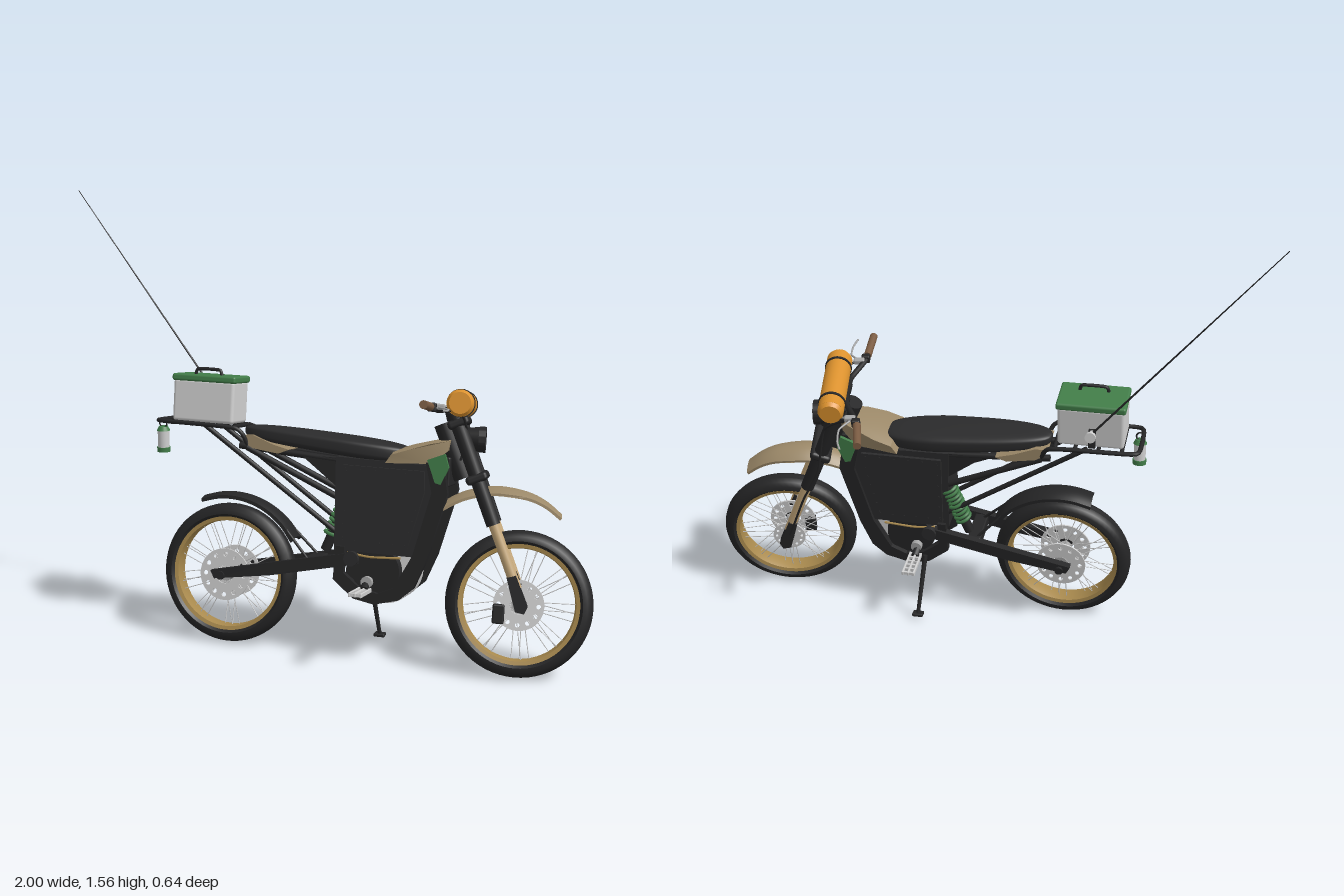
import * as THREE from 'three';
import { mergeGeometries, toCreasedNormals } from 'three/addons/utils/BufferGeometryUtils.js';
import { RoundedBoxGeometry } from 'three/addons/geometries/RoundedBoxGeometry.js';

const paint = (name, color) => {
  const m = new THREE.MeshStandardMaterial({ color });
  m.name = name;
  return m;
};
const M = {
  black: paint('black', 0x252526), panel: paint('charcoal panel', 0x2b2b2c), tan: paint('tan', 0x9b8868),
  gold: paint('gold', 0xa98a4e), pale: paint('pale gold', 0xc4a77a), orange: paint('orange', 0xdb912d),
  green: paint('green', 0x427d49), white: paint('light grey', 0xcfcfcf), grey: paint('grey', 0xa4a4a4),
  brown: paint('brown', 0x7a5b42),
};
const V = (p) => new THREE.Vector3(...p);

function add(parent, name, geo, mat) {
  const m = new THREE.Mesh(geo, mat);
  m.name = name;
  parent.add(m);
}
// Straight cylinder between two points
function rod(a, b, r, r2 = r, seg = 14) {
  const A = V(a), d = V(b).sub(A);
  const g = new THREE.CylinderGeometry(r2, r, d.length(), seg);
  g.applyQuaternion(new THREE.Quaternion().setFromUnitVectors(V([0, 1, 0]), d.clone().normalize()));
  return g.translate(...A.addScaledVector(d, 0.5).toArray());
}
const pipe = (pts, r) =>
  new THREE.TubeGeometry(new THREE.CatmullRomCurve3(pts.map(V), false, 'catmullrom', 0.3), pts.length * 8, r, 8);
const box = (w, h, d, x, y, z, r = 0.006) => new RoundedBoxGeometry(w, h, d, 2, r).translate(x, y, z);
const outline = (pts) => new THREE.Shape(pts.map((p) => new THREE.Vector2(...p)));
// Side profile extruded across z, with an optional rule applied to every vertex
function extrude(shape, width, z = 0, rule = null) {
  const g = new THREE.ExtrudeGeometry(shape, { depth: width, bevelEnabled: false, steps: rule ? 8 : 1, curveSegments: 32 });
  g.translate(0, 0, -width / 2);
  if (rule) {
    const p = g.attributes.position, v = new THREE.Vector3();
    for (let i = 0; i < p.count; i++) {
      rule(v.fromBufferAttribute(p, i));
      p.setXYZ(i, v.x, v.y, v.z);
    }
  }
  return toCreasedNormals(g.translate(0, 0, z), 0.6);
}
const plate = (pts, width, z, rule) => extrude(outline(pts), width, z, rule);
// Thin curved mudguard following a path in the side plane
function mudguard(pts, thick, width, rule) {
  const c = new THREE.SplineCurve(pts.map((p) => new THREE.Vector2(...p)));
  const top = c.getPoints(24), low = top.map((p, i) => {
    const t = c.getTangent(i / 24);
    return new THREE.Vector2(p.x + t.y * thick, p.y - t.x * thick);
  });
  return extrude(new THREE.Shape([...top, ...low.reverse()]), width, 0, rule);
}
// Rounded cushion made from a sphere pushed towards a box
function cushion(hx, hy, hz, rule) {
  const g = new THREE.SphereGeometry(1, 48, 32), p = g.attributes.position;
  const sq = (c, e) => Math.sign(c) * Math.abs(c) ** e;
  const v = new THREE.Vector3();
  for (let i = 0; i < p.count; i++) {
    v.set(sq(p.getX(i), 0.75) * hx, sq(p.getY(i), 0.5) * hy, sq(p.getZ(i), 0.75) * hz);
    rule(v);
    p.setXYZ(i, v.x, v.y, v.z);
  }
  g.computeVertexNormals();
  return g;
}
const ring = (pts) => toCreasedNormals(new THREE.LatheGeometry(pts.map((p) => new THREE.Vector2(...p)), 64).rotateX(Math.PI / 2), 0.7);

function drilledDisc(r, inner, z) {
  const s = new THREE.Shape().absarc(0, 0, r, 0, Math.PI * 2);
  s.holes.push(new THREE.Path().absarc(0, 0, inner, 0, Math.PI * 2, true));
  for (let i = 0; i < 12; i++) {
    const a = i * Math.PI / 6, q = r * 0.78;
    s.holes.push(new THREE.Path().absarc(Math.cos(a) * q, Math.sin(a) * q, r * 0.09, 0, Math.PI * 2, true));
  }
  return extrude(s, 0.006, z);
}
function makeWheel(name, x, y, discs) {
  const w = new THREE.Group();
  w.name = name;
  w.position.set(x, y, 0);
  add(w, 'tyre', ring([[0.201, -0.03], [0.212, -0.041], [0.227, -0.039], [0.24, -0.027], [0.247, -0.01], [0.247, 0.01],
    [0.24, 0.027], [0.227, 0.039], [0.212, 0.041], [0.201, 0.03], [0.201, -0.03]]), M.black);
  add(w, 'rim', ring([[0.187, -0.014], [0.19, -0.03], [0.203, -0.033], [0.203, 0.033], [0.19, 0.03], [0.187, 0.014], [0.187, -0.014]]), M.gold);
  add(w, 'hub', rod([0, 0, -0.05], [0, 0, 0.05], 0.024), M.grey);
  const spokes = [];
  for (let i = 0; i < 36; i++) {
    const a = i * Math.PI / 18, b = a + (i % 4 < 2 ? 0.45 : -0.45), z = i % 2 ? 0.035 : -0.035;
    spokes.push(rod([Math.cos(a) * 0.024, Math.sin(a) * 0.024, z], [Math.cos(b) * 0.189, Math.sin(b) * 0.189, z * 0.2], 0.0016, 0.0016, 5));
  }
  add(w, 'spokes', mergeGeometries(spokes), M.white);
  for (const [r, z] of discs) add(w, 'disc', drilledDisc(r, r * 0.35, z), M.white);
  return w;
}

export function createModel() {
  const root = new THREE.Group();
  const bike = new THREE.Group(); // leaning bike
  bike.name = 'leaningBike';
  bike.position.z = 0.14;
  bike.rotation.x = -0.155;
  root.add(bike);

  // Rear wheel, swingarm, mudguard
  bike.add(makeWheel('rearWheel', -0.285, 0.253, [[0.092, 0.054], [0.09, -0.054]]));
  for (const s of [-1, 1]) {
    add(bike, 'swingarm', plate([[0.2, 0.385], [0.21, 0.345], [-0.1, 0.275], [-0.31, 0.242], [-0.325, 0.27], [-0.1, 0.32]], 0.026, s * 0.083), M.black);
    add(bike, 'axleNut', rod([-0.285, 0.256, s * 0.09], [-0.285, 0.256, s * 0.105], 0.015), M.black);
    add(bike, 'pivotCap', rod([0.19, 0.363, s * 0.09], [0.19, 0.363, s * 0.106], 0.026), M.panel);
    add(bike, 'mudguardStay', rod([-0.1, 0.46, s * 0.03], [0.03, 0.33, s * 0.06], 0.005), M.black);
  }
  add(bike, 'rearAxle', rod([-0.285, 0.253, -0.09], [-0.285, 0.253, 0.09], 0.011), M.black);
  add(bike, 'swingarmBridge', box(0.05, 0.04, 0.15, 0.03, 0.325, 0), M.black);
  const arc = [];
  for (let a = 112; a >= 30; a -= 13.5) arc.push([-0.285 + Math.cos(a * Math.PI / 180) * 0.286, 0.257 + Math.sin(a * Math.PI / 180) * 0.286]);
  add(bike, 'rearMudguard', mudguard(arc, 0.012, 0.09, (v) => { v.y -= v.z * v.z * 5; }), M.black);

  // Battery case and cradle frame
  add(bike, 'batteryCase', plate([[0.11, 0.705], [0.44, 0.7], [0.475, 0.63], [0.405, 0.385], [0.12, 0.385]], 0.15), M.panel);
  for (const s of [-1, 1]) {
    add(bike, 'sidePanel', plate([[0.135, 0.68], [0.425, 0.68], [0.43, 0.61], [0.38, 0.41], [0.14, 0.41]], 0.012, s * 0.08), M.panel);
    const bolts = [];
    for (let i = 0; i < 6; i++) {
      const t = i / 5;
      for (const [x, y] of [[0.15 + t * 0.26, 0.667], [0.15 + t * 0.22, 0.422], [0.15, 0.43 + t * 0.23], [0.375 + t * 0.04, 0.43 + t * 0.19]])
        bolts.push(rod([x, y, s * 0.085], [x, y, s * 0.088], 0.004, 0.004, 6));
    }
    add(bike, 'panelBolts', mergeGeometries(bolts), M.panel);
    add(bike, 'cradleFrame', plate([[0.49, 0.71], [0.51, 0.61], [0.45, 0.38], [0.41, 0.28], [0.36, 0.235], [0.275, 0.212], [0.2, 0.225],
      [0.125, 0.285], [0.13, 0.4], [0.16, 0.4], [0.16, 0.31], [0.22, 0.265], [0.285, 0.25], [0.34, 0.275], [0.4, 0.39], [0.455, 0.61], [0.43, 0.71]], 0.026, s * 0.075), M.black);
    add(bike, 'motorCover', rod([0.27, 0.325, s * 0.05], [0.27, 0.325, s * 0.07], 0.09, 0.084, 36), M.black);
    add(bike, 'motorCap', rod([0.245, 0.285, s * 0.07], [0.245, 0.285, s * 0.09], 0.02, 0.02, 20), M.grey);
    add(bike, 'powerLead', pipe([[0.17, 0.38, s * 0.078], [0.25, 0.372, s * 0.08], [0.36, 0.378, s * 0.078]], 0.004), M.gold);
    add(bike, 'neckPanel', plate([[0.435, 0.72], [0.495, 0.745], [0.51, 0.7], [0.485, 0.64], [0.465, 0.645]], 0.012, s * 0.085), M.green);
  }
  // Finned motor casing between the rails
  const fins = [];
  for (let i = -4; i <= 4; i++) fins.push(rod([0.3, 0.322, i * 0.012 - 0.003], [0.3, 0.322, i * 0.012 + 0.003], 0.108, 0.108, 36));
  add(bike, 'motorFins', mergeGeometries(fins), M.white);
  add(bike, 'motorCore', rod([0.3, 0.322, -0.049], [0.3, 0.322, 0.049], 0.098, 0.098, 36), M.grey);
  add(bike, 'headTube', rod([0.465, 0.84, 0], [0.545, 0.66, 0], 0.036), M.black);
  add(bike, 'neckBrace', box(0.1, 0.1, 0.1, 0.455, 0.68, 0), M.black);

  // Foot pegs and side stand
  for (const s of [-1, 1]) {
    add(bike, 'pegArm', rod([0.24, 0.28, s * 0.07], [0.245, 0.262, s * 0.11], 0.014), M.black);
    for (const dx of [-0.02, 0, 0.02]) add(bike, 'pegRail', box(0.007, 0.015, 0.12, 0.245 + dx, 0.262, s * 0.158, 0.002), M.white);
    for (let i = 0; i < 6; i++) add(bike, 'pegTooth', box(0.045, 0.013, 0.007, 0.245, 0.262, s * (0.102 + i * 0.022), 0.002), M.white);
  }
  add(root, 'sideStand', rod([0.21, 0.24, 0.005], [0.227, 0.025, -0.05], 0.009, 0.007), M.black);
  add(root, 'sideStandFoot', box(0.04, 0.012, 0.03, 0.227, 0.022, -0.051, 0.004), M.black);

  // Seat, front cover and tail cover
  add(bike, 'seat', cushion(0.305, 0.036, 0.093, (v) => {
    v.z *= 0.93 + v.x * 0.5 - Math.max(0, v.x - 0.1) * 0.6;
    v.y = v.y * (0.95 + v.x * 0.4) + 0.745 - v.x * 0.07;
    v.x += 0.055;
  }), M.panel);
  add(bike, 'frontCover', plate([[0.29, 0.712], [0.31, 0.742], [0.37, 0.763], [0.44, 0.782], [0.5, 0.79], [0.495, 0.755], [0.445, 0.715]], 0.19, 0, (v) => {
    v.z *= 1 - Math.max(0, v.x - 0.4) * 4.5;
    v.y -= v.z * v.z * 1.5;
  }), M.tan);
  add(bike, 'tailCover', plate([[-0.245, 0.75], [-0.2, 0.755], [-0.12, 0.728], [-0.06, 0.715], [-0.1, 0.698], [-0.21, 0.71]], 0.14, 0, (v) => { v.z *= 1.25 + v.x * 1.4; }), M.tan);

  // Subframe, rack and shock
  for (const s of [-1, 1]) {
    add(bike, 'seatRail', rod([0.13, 0.69, s * 0.055], [-0.25, 0.715, s * 0.055], 0.012), M.black);
    add(bike, 'lowerStrut', rod([-0.38, 0.778, s * 0.07], [0.13, 0.44, s * 0.065], 0.009), M.black);
    add(bike, 'upperStrut', rod([-0.22, 0.71, s * 0.06], [0.13, 0.56, s * 0.06], 0.011), M.black);
    add(bike, 'seatBrace', plate([[0.13, 0.7], [-0.02, 0.7], [0.13, 0.59]], 0.012, s * 0.06), M.black);
  }
  add(bike, 'rackLoop', pipe([[-0.22, 0.72, -0.06], [-0.26, 0.775, -0.085], [-0.53, 0.782, -0.085], [-0.56, 0.782, -0.06],
    [-0.56, 0.782, 0.06], [-0.53, 0.782, 0.085], [-0.26, 0.775, 0.085], [-0.22, 0.72, 0.06]], 0.008), M.black);
  for (const x of [-0.5, -0.42, -0.34, -0.27]) add(bike, 'rackBar', rod([x, 0.779, -0.085], [x, 0.779, 0.085], 0.007), M.black);
  add(bike, 'shockBody', rod([0.13, 0.57, -0.05], [0.05, 0.36, -0.05], 0.018), M.black);
  const coil = [];
  for (let i = 0; i <= 72; i++) {
    const t = i / 72, a = t * Math.PI * 18;
    coil.push(V([0.122 - t * 0.054 + Math.cos(a) * 0.025, 0.55 - t * 0.14 - Math.cos(a) * 0.01, -0.05 + Math.sin(a) * 0.027]));
  }
  add(bike, 'shockSpring', new THREE.TubeGeometry(new THREE.CatmullRomCurve3(coil), 220, 0.0062, 6), M.green);

  // Cool box, lantern, antenna
  add(bike, 'coolBox', box(0.23, 0.15, 0.14, -0.392, 0.86, 0, 0.012), M.white);
  add(bike, 'coolBoxLid', box(0.24, 0.025, 0.15, -0.392, 0.94, 0, 0.008), M.green);
  add(bike, 'lidHandle', pipe([[-0.44, 0.95, 0.03], [-0.43, 0.971, 0.03], [-0.35, 0.971, 0.03], [-0.34, 0.95, 0.03]], 0.006), M.black);
  const lantern = new THREE.Group();
  lantern.name = 'lantern';
  lantern.position.set(-0.55, 0, 0.068);
  root.add(lantern);
  add(lantern, 'lanternGlass', rod([0, 0.68, 0], [0, 0.742, 0], 0.021, 0.021, 20), M.white);
  add(lantern, 'lanternCap', rod([0, 0.742, 0], [0, 0.757, 0], 0.024, 0.016, 20), M.green);
  add(lantern, 'lanternBase', rod([0, 0.665, 0], [0, 0.682, 0], 0.024, 0.024, 20), M.green);
  add(lantern, 'lanternHook', new THREE.TorusGeometry(0.014, 0.003, 6, 20).translate(0, 0.768, 0), M.black);
  add(root, 'antenna', rod([-0.4, 0.835, -0.093], [-1, 1.56, -0.21], 0.004, 0.0015, 8), M.black);
  add(root, 'antennaMount', rod([-0.4, 0.835, -0.07], [-0.4, 0.835, -0.115], 0.009), M.white);
  add(root, 'antennaKnob', rod([-0.4, 0.835, -0.112], [-0.4, 0.835, -0.125], 0.019), M.white);
  add(root, 'antennaBracket', box(0.025, 0.07, 0.012, -0.4, 0.81, -0.075, 0.003), M.black);

  // Steered front end, turned about the raked head axis
  const steer = new THREE.Group(), f = new THREE.Group();
  steer.name = 'steering';
  f.name = 'frontEnd';
  steer.position.set(0.49, 0.82, 0);
  f.position.set(-0.49, -0.82, 0);
  steer.quaternion.setFromAxisAngle(V([-Math.sin(0.41), Math.cos(0.41), 0]), 0.19);
  steer.add(f);
  bike.add(steer);
  f.add(makeWheel('frontWheel', 0.755, 0.253, [[0.085, 0.05], [0.06, -0.05]]));
  add(f, 'frontAxle', rod([0.755, 0.253, -0.095], [0.755, 0.253, 0.095], 0.011), M.black);
  add(f, 'brakeCaliper', box(0.04, 0.065, 0.03, 0.69, 0.22, 0.056), M.black);
  for (const s of [-1, 1]) {
    const z = s * 0.08;
    add(f, 'forkUpper', rod([0.5, 0.88, z], [0.655, 0.515, z], 0.027, 0.024), M.black);
    add(f, 'forkStanchion', rod([0.65, 0.53, z], [0.745, 0.31, z], 0.018), M.pale);
    add(f, 'forkLower', plate([[0.71, 0.345], [0.74, 0.355], [0.785, 0.255], [0.775, 0.23], [0.745, 0.235]], 0.04, z), M.black);
    // Controls
    add(f, 'grip', rod([0.428, 0.891, s * 0.205], [0.415, 0.895, s * 0.325], 0.014), M.brown);
    add(f, 'switchBlock', box(0.03, 0.03, 0.025, 0.433, 0.89, s * 0.19), M.black);
    add(f, 'leverClamp', box(0.04, 0.02, 0.022, 0.455, 0.893, s * 0.17), M.grey);
    add(f, 'lever', pipe([[0.455, 0.89, s * 0.18], [0.488, 0.885, s * 0.22], [0.488, 0.88, s * 0.28], [0.475, 0.88, s * 0.325]], 0.0035), M.grey);
    add(f, 'cable', pipe([[0.46, 0.89, s * 0.18], [0.53, 0.87, s * 0.13], [0.55, 0.8, s * 0.07], [0.53, 0.72, s * 0.05]], 0.004), M.black);
    add(f, 'barRiser', rod([0.49, 0.85, s * 0.04], [0.48, 0.885, s * 0.04], 0.014), M.black);
    // Bedroll ends and straps
    add(f, 'bedrollEnd', rod([0.522, 0.91, s * 0.154], [0.522, 0.91, s * 0.17], 0.045, 0.036, 32), M.orange);
    add(f, 'bedrollStrap', rod([0.522, 0.91, s * 0.105 - 0.005], [0.522, 0.91, s * 0.105 + 0.005], 0.048, 0.048, 32), M.black);
  }
  add(f, 'bedroll', rod([0.522, 0.91, -0.155], [0.522, 0.91, 0.155], 0.045, 0.045, 32), M.orange);
  add(f, 'brakeHose', pipe([[0.46, 0.89, -0.17], [0.56, 0.8, -0.11], [0.6, 0.62, -0.118], [0.67, 0.48, -0.115], [0.74, 0.3, -0.1]], 0.004), M.black);
  add(f, 'handlebar', pipe([[0.418, 0.895, -0.32], [0.43, 0.89, -0.19], [0.475, 0.885, -0.08], [0.48, 0.885, 0],
    [0.475, 0.885, 0.08], [0.43, 0.89, 0.19], [0.418, 0.895, 0.32]], 0.01), M.black);
  for (const [x, y] of [[0.517, 0.845], [0.59, 0.665]])
    add(f, 'forkClamp', box(0.075, 0.03, 0.22, 0, 0, 0, 0.012).rotateZ(0.41).translate(x, y, 0), M.black);
  add(f, 'headlight', rod([0.52, 0.798, 0], [0.59, 0.794, 0], 0.03, 0.043, 28), M.black);
  add(f, 'headlightGlass', rod([0.588, 0.794, 0], [0.595, 0.794, 0], 0.04, 0.038, 28), M.white);
  add(f, 'headlightRim', ring([[0.038, -0.012], [0.044, -0.012], [0.044, 0.012], [0.038, 0.012], [0.038, -0.012]])
    .rotateY(Math.PI / 2).translate(0.597, 0.794, 0), M.black);
  add(f, 'frontMudguard', mudguard([[0.47, 0.572], [0.55, 0.618], [0.65, 0.642], [0.75, 0.633], [0.82, 0.606], [0.878, 0.563]], 0.009, 0.115, (v) => {
    v.z *= 1 - Math.max(0, v.x - 0.7) * 1.6;
    v.y -= v.z * v.z * 7;
  }), M.tan);
  return root;
}
